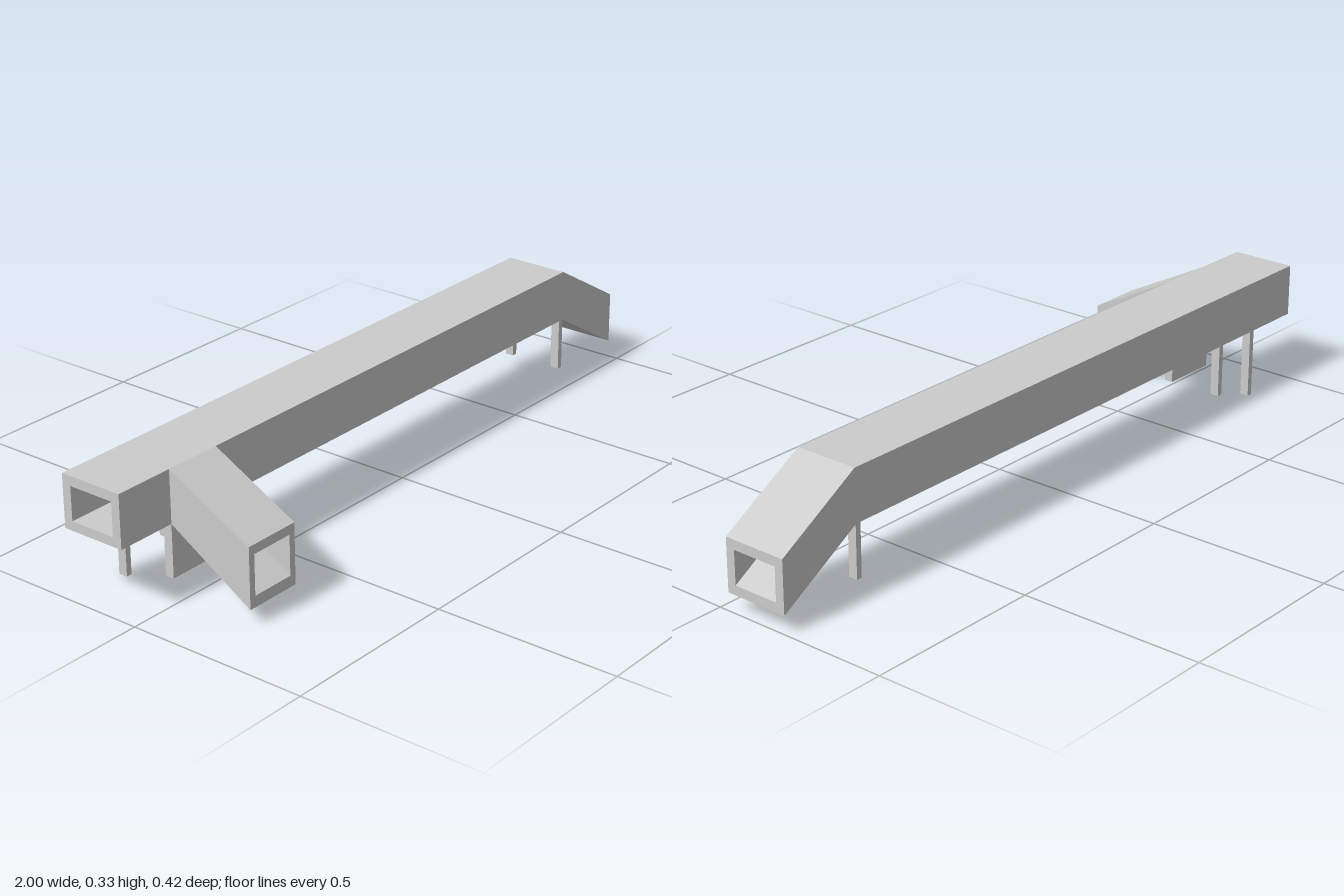
import * as THREE from 'three';

const material = new THREE.MeshStandardMaterial({ color: 0xcccccc, flatShading: true });

function addMesh(parent, name, geometry) {
  const mesh = new THREE.Mesh(geometry, material);
  mesh.name = name;
  parent.add(mesh);
}

const toShape = (points) => new THREE.Shape(points.map(([a, b]) => new THREE.Vector2(a, b)));

// Extrude an (x, y) outline from z0 to z1
function slabZ(points, z0, z1, hole) {
  const shape = toShape(points);
  if (hole) shape.holes.push(toShape(hole));
  return new THREE.ExtrudeGeometry(shape, { depth: z1 - z0, bevelEnabled: false }).translate(0, 0, z0);
}

// Extrude a (z, y) outline from x0 to x1
function slabX(points, x0, x1) {
  return new THREE.ExtrudeGeometry(toShape(points), { depth: x1 - x0, bevelEnabled: false })
    .rotateY(-Math.PI / 2).translate(x1, 0, 0);
}

// Closed outline between a lower and an upper line
const band = (lower, upper) => [...lower, ...[...upper].reverse()];

function box(x0, x1, y0, y1, z0, z1) {
  return new THREE.BoxGeometry(x1 - x0, y1 - y0, z1 - z0)
    .translate((x0 + x1) / 2, (y0 + y1) / 2, (z0 + z1) / 2);
}

export function createModel() {
  const model = new THREE.Group();
  model.name = 'coveredWalkway';

  const back = -0.21, front = -0.03, wall = 0.025;
  const chuteLeft = -0.833, chuteRight = -0.673, chuteWall = 0.018;

  // Main hollow passage with its sloping end
  const passage = new THREE.Group();
  passage.name = 'passage';
  model.add(passage);
  const bottom = [[-1, 0.19], [0.76, 0.19], [1, 0.048]];
  const innerBottom = [[-1, 0.215], [0.765, 0.215], [1, 0.074]];
  const innerTop = [[-1, 0.306], [0.755, 0.306], [1, 0.165]];
  const top = [[-1, 0.332], [0.76, 0.332], [1, 0.191]];
  const doorway = [
    [chuteLeft + chuteWall, 0.216], [chuteRight - chuteWall, 0.216],
    [chuteRight - chuteWall, 0.305], [chuteLeft + chuteWall, 0.305],
  ];
  addMesh(passage, 'backWall', slabZ(band(bottom, top), back, back + wall));
  addMesh(passage, 'frontWall', slabZ(band(bottom, top), front - wall, front, doorway));
  addMesh(passage, 'floor', slabZ(band(bottom, innerBottom), back + wall, front - wall));
  addMesh(passage, 'roof', slabZ(band(innerTop, top), back + wall, front - wall));

  // Hollow side branch sloping down to the front
  const branch = new THREE.Group();
  branch.name = 'sideBranch';
  model.add(branch);
  const low = [[front, 0.19], [0.21, 0.043]];
  const innerLow = [[front, 0.216], [0.21, 0.073]];
  const innerHigh = [[front, 0.305], [0.21, 0.181]];
  const high = [[front, 0.332], [0.21, 0.206]];
  addMesh(branch, 'rightSide', slabX(band(low, high), chuteLeft, chuteLeft + chuteWall));
  addMesh(branch, 'leftSide', slabX(band(low, high), chuteRight - chuteWall, chuteRight));
  addMesh(branch, 'branchFloor', slabX(band(low, innerLow), chuteLeft + chuteWall, chuteRight - chuteWall));
  addMesh(branch, 'branchRoof', slabX(band(innerHigh, high), chuteLeft + chuteWall, chuteRight - chuteWall));

  // Support legs: x start, foot height, z start
  const legs = [
    [0.745, 0.046, back], [0.745, 0.046, front - wall],
    [chuteLeft, 0, back], [chuteRight - 0.016, 0.046, back],
  ];
  for (const [x, y, z] of legs) addMesh(model, 'leg', box(x, x + 0.016, y, 0.19, z, z + wall));

  // Support panel below the branch junction
  addMesh(model, 'supportPanel', box(chuteLeft, chuteRight, 0.046, 0.19, front - wall, front));

  return model;
}
